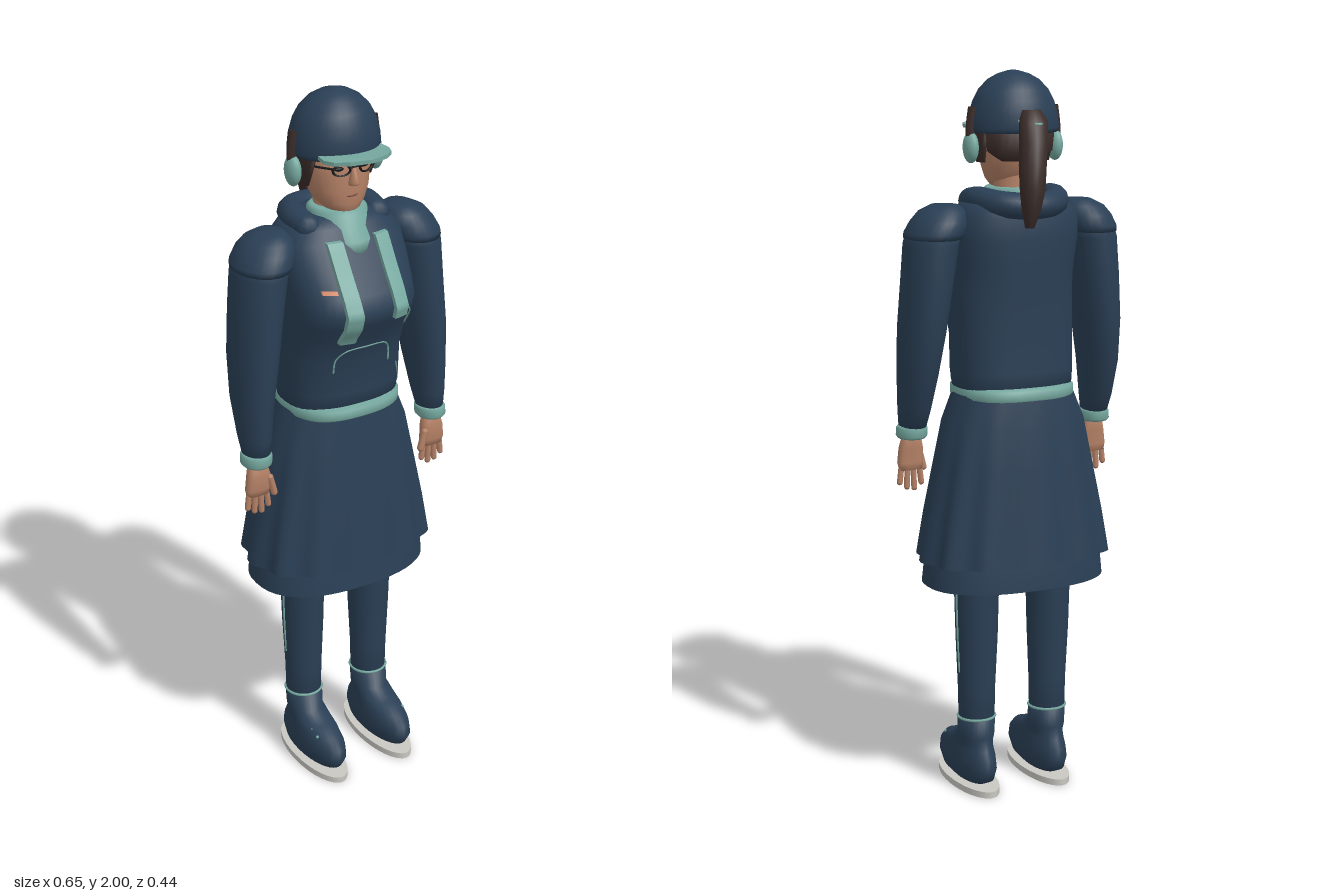
import * as THREE from 'three';

const mat = (name, color) => Object.assign(
  new THREE.MeshStandardMaterial({ color, side: THREE.DoubleSide }), { name });

export function createModel() {
  const root = new THREE.Group();
  root.name = 'skatingWoman';
  const navy = mat('navy cloth', 0x2a3f55), teal = mat('teal trim', 0x76a9a0);
  const skin = mat('skin', 0xb68267), hair = mat('dark hair', 0x3a2c29);
  const black = mat('black frames', 0x17181c), sole = mat('sole grey', 0xc9c8c2);
  const lip = mat('lips', 0x8f5848), badge = mat('orange badge', 0xd58a68);

  const add = (name, geo, material, x = 0, y = 0, z = 0) => {
    const m = new THREE.Mesh(geo, material);
    m.name = name;
    m.position.set(x, y, z);
    root.add(m);
    return m;
  };

  // Stacked superellipse rings [y, centre x, half width, front z, back z], bottom to top
  function loft(rings, { p = 2, n = 28, closed = true, ripple = () => 0 } = {}) {
    const pos = [], idx = [], last = (rings.length - 1) * n;
    const sp = (v) => Math.sign(v) * Math.abs(v) ** (2 / p);
    rings.forEach(([y, cx, rx, f, b], i) => {
      for (let j = 0; j < n; j++) {
        const t = (j / n) * Math.PI * 2, k = 1 + ripple(t, i / (rings.length - 1));
        pos.push(cx + rx * k * sp(Math.cos(t)), y, (f + b) / 2 + ((f - b) / 2) * k * sp(Math.sin(t)));
        const q = (j + 1) % n, a = i * n + j, e = i * n + q;
        if (i < rings.length - 1) idx.push(a, a + n, e, a + n, e + n, e);
      }
    });
    if (closed) {
      const c = pos.length / 3;
      for (const r of [rings[0], rings[rings.length - 1]]) pos.push(r[1], r[0], (r[3] + r[4]) / 2);
      for (let j = 0; j < n; j++) {
        const q = (j + 1) % n;
        idx.push(c, j, q, c + 1, last + q, last + j);
      }
    }
    const g = new THREE.BufferGeometry();
    g.setAttribute('position', new THREE.Float32BufferAttribute(pos, 3));
    g.setIndex(idx);
    g.computeVertexNormals();
    return g;
  }
  const tube = (pts, r, seg = 24, sides = 8) => new THREE.TubeGeometry(
    new THREE.CatmullRomCurve3(pts.map((q) => new THREE.Vector3(...q))), seg, r, sides);

  // Jacket body
  const torso = [
    [1.12, 0, 0.158, 0.125, -0.125], [1.2, 0, 0.167, 0.13, -0.12], [1.3, 0, 0.167, 0.137, -0.12],
    [1.38, 0, 0.17, 0.17, -0.122], [1.42, 0, 0.172, 0.2, -0.124], [1.46, 0, 0.174, 0.212, -0.126],
    [1.5, 0, 0.176, 0.19, -0.128], [1.56, 0, 0.18, 0.148, -0.13], [1.62, 0, 0.175, 0.11, -0.128],
    [1.655, 0, 0.145, 0.085, -0.115], [1.68, 0, 0.085, 0.065, -0.085],
  ];
  const P = 2.6;
  add('jacket', loft(torso, { p: P, n: 40 }), navy);

  // Front surface of the jacket at x, y
  function drape(x, y) {
    let i = 0;
    while (i < torso.length - 2 && torso[i + 1][0] < y) i++;
    const u = (y - torso[i][0]) / (torso[i + 1][0] - torso[i][0]);
    const [, , rx, f, b] = torso[i].map((v, k) => v + (torso[i + 1][k] - v) * u);
    return (f + b) / 2 + ((f - b) / 2) * Math.max(0, 1 - Math.abs(x / rx) ** P) ** (1 / P);
  }
  function patch(name, w, h, thick, x, y, material) {
    const g = new THREE.BoxGeometry(w, h, thick, 4, 20, 1).translate(x, y, 0), a = g.attributes.position;
    for (let i = 0; i < a.count; i++) a.setZ(i, a.getZ(i) + drape(a.getX(i), a.getY(i)) + thick * 0.3);
    g.computeVertexNormals();
    add(name, g, material);
  }

  // Belt band, trims and badge
  add('jacketHem', loft([[1.125, 0, 0.155, 0.135, -0.13], [1.132, 0, 0.164, 0.143, -0.139],
    [1.155, 0, 0.164, 0.143, -0.139], [1.163, 0, 0.155, 0.13, -0.125]], { p: P, n: 40 }), teal);
  const trims = [
    [[-0.085, 1.27], [-0.082, 1.31], [-0.06, 1.335], [0, 1.34], [0.06, 1.335], [0.08, 1.31], [0.085, 1.27]],
    [[0.1, 1.45], [0.122, 1.42], [0.13, 1.37]], [[0.12, 1.25], [0.135, 1.21], [0.15, 1.17]],
  ];
  for (const line of trims) add('pocketTrim', tube(line.map(([x, y]) => [x, y, drape(x, y)]), 0.0025, 20, 5), teal);
  patch('badge', 0.035, 0.008, 0.008, -0.115, 1.518, badge);

  // Scarf
  add('scarfWrap', loft([[1.585, 0, 0.08, 0.13, -0.07], [1.62, 0, 0.09, 0.118, -0.075],
    [1.65, 0, 0.078, 0.098, -0.075], [1.685, 0, 0.08, 0.082, -0.075], [1.695, 0, 0.068, 0.07, -0.065]]), teal);
  patch('scarfEnd', 0.042, 0.26, 0.018, -0.07, 1.5, teal);
  patch('scarfEnd', 0.042, 0.2, 0.018, 0.07, 1.53, teal);

  // Folded hood
  const hood = add('hood', tube([[-0.105, 1.655, 0.03], [-0.108, 1.662, -0.03], [-0.075, 1.655, -0.1],
    [0, 1.65, -0.128], [0.075, 1.655, -0.1], [0.108, 1.662, -0.03], [0.105, 1.655, 0.03]], 0.036, 32, 12), navy);
  for (const s of [-1, 1]) add('hoodEnd', new THREE.SphereGeometry(0.036, 12, 8), navy, s * 0.105, 1.655, 0.03);
  hood.castShadow = false;

  // Skirt with soft pleats and underskirt
  const ripple = (t, v) => 0.035 * (1 - v) * Math.cos(12 * t);
  add('skirt', loft([[0.68, 0, 0.268, 0.178, -0.186], [0.8, 0, 0.25, 0.165, -0.173], [0.95, 0, 0.22, 0.15, -0.158],
    [1.06, 0, 0.198, 0.137, -0.146], [1.14, 0, 0.165, 0.128, -0.132]], { p: 2.4, n: 72, closed: false, ripple }), navy);
  add('underskirt', loft([[0.61, 0, 0.258, 0.166, -0.172], [0.67, 0, 0.252, 0.16, -0.168],
    [0.8, 0, 0.225, 0.145, -0.15]], { p: 2.4, n: 48, closed: false }), navy);

  for (const s of [-1, 1]) {
    const side = s > 0 ? 'left' : 'right';
    // Leg, stripe and ankle trim
    const lx = s * 0.11;
    add(side + 'Leg', loft([[0.18, lx, 0.05, 0.05, -0.05], [0.3, lx, 0.052, 0.053, -0.054],
      [0.45, lx, 0.058, 0.06, -0.065], [0.62, lx, 0.062, 0.066, -0.072], [0.95, s * 0.095, 0.085, 0.085, -0.09]]), navy);
    add(side + 'LegStripe', tube([[s * 0.163, 0.35, -0.005], [s * 0.168, 0.45, -0.005],
      [s * 0.172, 0.62, -0.005], [s * 0.174, 0.75, -0.005]], 0.0035, 10, 6), teal);
    add(side + 'AnkleTrim', new THREE.TorusGeometry(0.052, 0.004, 6, 28).rotateX(Math.PI / 2), teal, lx, 0.215, 0);
    // Shoe and sole
    add(side + 'Shoe', loft([[0.022, lx, 0.035, 0.15, -0.04], [0.04, lx, 0.052, 0.19, -0.078],
      [0.07, lx, 0.059, 0.208, -0.088], [0.1, lx, 0.058, 0.2, -0.08], [0.125, lx, 0.053, 0.17, -0.066],
      [0.143, lx, 0.05, 0.12, -0.058], [0.16, lx, 0.05, 0.065, -0.055], [0.218, lx, 0.053, 0.054, -0.053]]), navy);
    add(side + 'Sole', new THREE.CylinderGeometry(0.061, 0.061, 0.018, 32).scale(1, 1, 2.62), sole, lx, 0.012, 0.055);
    for (let i = 0; i < 3; i++) {
      add(side + 'Eyelet', new THREE.SphereGeometry(0.005, 6, 5), teal, lx + s * 0.035, 0.141 - i * 0.008, 0.075 + i * 0.03);
    }

    // Sleeve and shoulder cap
    add(side + 'Sleeve', loft([[1.045, s * 0.277, 0.036, 0.088, 0.005], [1.1, s * 0.276, 0.042, 0.095, -0.025],
      [1.2, s * 0.272, 0.051, 0.1, -0.062], [1.32, s * 0.262, 0.06, 0.105, -0.084], [1.45, s * 0.248, 0.066, 0.1, -0.09],
      [1.55, s * 0.236, 0.071, 0.098, -0.09], [1.6, s * 0.222, 0.072, 0.09, -0.085]]), navy);
    add(side + 'Shoulder', loft([[1.565, s * 0.232, 0.074, 0.1, -0.093], [1.58, s * 0.225, 0.08, 0.1, -0.096],
      [1.61, s * 0.213, 0.076, 0.088, -0.09], [1.635, s * 0.205, 0.063, 0.07, -0.072],
      [1.652, s * 0.198, 0.036, 0.042, -0.045]]), navy);
    add(side + 'Cuff', loft([[1.02, s * 0.279, 0.036, 0.088, 0.008], [1.027, s * 0.279, 0.042, 0.094, 0.001],
      [1.048, s * 0.278, 0.042, 0.094, 0], [1.056, s * 0.277, 0.037, 0.09, 0.004]]), teal);
    // Hand with fingers and thumb
    add(side + 'Palm', loft([[0.93, s * 0.28, 0.033, 0.068, 0.04], [0.95, s * 0.28, 0.037, 0.074, 0.038],
      [0.99, s * 0.278, 0.034, 0.076, 0.036], [1.03, s * 0.278, 0.024, 0.07, 0.03]], { p: 2.6, n: 16 }), skin);
    [0.052, 0.066, 0.062, 0.048].forEach((len, i) => {
      const f = add(side + 'Finger', new THREE.CapsuleGeometry(0.0085, len - 0.012, 3, 8), skin,
        s * (0.251 + i * 0.0195), 0.938 - len / 2, 0.055);
      f.rotation.z = s * (i - 1.5) * 0.08;
    });
    const thumb = add(side + 'Thumb', new THREE.CapsuleGeometry(0.01, 0.05, 3, 8), skin, s * 0.243, 0.955, 0.068);
    thumb.rotation.z = -s * 0.25;

    // Earphone with its arm on the cap, glasses rim, eye and side hair
    const cup = add(side + 'Earphone', new THREE.SphereGeometry(1, 16, 12), teal, s * 0.124, 1.8, -0.008);
    cup.scale.set(0.02, 0.042, 0.03);
    add(side + 'EarphoneArm', tube([[s * 0.124, 1.8, -0.01], [s * 0.126, 1.85, -0.01],
      [s * 0.119, 1.905, -0.01]], 0.013, 10, 8), hair);
    const rim = add(side + 'GlassesRim', new THREE.TorusGeometry(0.023, 0.0035, 6, 20), black, s * 0.037, 1.813, 0.088);
    rim.scale.y = 0.65;
    rim.rotation.y = s * 0.28;
    add(side + 'Temple', tube([[s * 0.059, 1.818, 0.08], [s * 0.088, 1.82, 0.045], [s * 0.103, 1.818, 0]], 0.003, 10, 5), black);
    const eye = add(side + 'Eye', new THREE.SphereGeometry(1, 10, 8), black, s * 0.037, 1.813, 0.077);
    eye.scale.set(0.014, 0.006, 0.006);
    add(side + 'SideHair', loft([[1.76, s * 0.094, 0.007, 0.02, -0.03], [1.8, s * 0.096, 0.012, 0.04, -0.04],
      [1.86, s * 0.093, 0.018, 0.06, -0.05]], { n: 12 }), hair);
  }

  // Neck, head and face
  add('neck', new THREE.CylinderGeometry(0.052, 0.06, 0.18, 20), skin, 0, 1.68, -0.01);
  add('head', loft([[1.685, 0, 0.026, 0.068, 0], [1.696, 0, 0.048, 0.076, -0.03], [1.715, 0, 0.066, 0.08, -0.055],
    [1.75, 0, 0.081, 0.084, -0.08], [1.8, 0, 0.09, 0.083, -0.092], [1.88, 0, 0.092, 0.083, -0.095]], { p: 2.2 }), skin);
  add('nose', loft([[1.768, 0, 0.013, 0.1, 0.07], [1.776, 0, 0.014, 0.11, 0.07], [1.795, 0, 0.009, 0.1, 0.07],
    [1.825, 0, 0.006, 0.088, 0.07]], { n: 12 }), skin);
  add('mouth', new THREE.SphereGeometry(1, 12, 8), lip, 0, 1.738, 0.079).scale.set(0.019, 0.005, 0.006);
  add('glassesBridge', tube([[-0.016, 1.817, 0.093], [0, 1.82, 0.096], [0.016, 1.817, 0.093]], 0.003, 8, 5), black);

  // Back hair and ponytail
  add('backHair', loft([[1.765, 0, 0.06, -0.02, -0.094], [1.79, 0, 0.092, 0.005, -0.106],
    [1.86, 0, 0.101, 0.02, -0.112]]), hair);
  add('ponytail', loft([[1.6, 0.035, 0.012, -0.168, -0.195], [1.65, 0.03, 0.025, -0.15, -0.212],
    [1.7, 0.026, 0.033, -0.142, -0.218], [1.76, 0.02, 0.036, -0.128, -0.208], [1.82, 0.008, 0.038, -0.112, -0.186],
    [1.87, 0, 0.04, -0.1, -0.162], [1.9, 0, 0.026, -0.1, -0.138]], { n: 18 }), hair);
  add('hairTie', tube([[-0.038, 1.872, -0.12], [0, 1.865, -0.164], [0.038, 1.872, -0.12]], 0.004, 14, 6), teal);

  // Cap and curved brim
  add('cap', loft([[1.838, 0, 0.118, 0.1, -0.118], [1.85, 0, 0.124, 0.106, -0.124], [1.885, 0, 0.12, 0.104, -0.121],
    [1.92, 0, 0.11, 0.095, -0.112], [1.95, 0, 0.094, 0.08, -0.097], [1.975, 0, 0.07, 0.058, -0.074],
    [1.99, 0, 0.043, 0.032, -0.048], [1.998, 0, 0.016, 0.008, -0.022], [2, 0, 0.003, -0.004, -0.01]], { n: 36 }), navy);
  const brimShape = new THREE.Shape([[-0.09, -0.04], [-0.097, -0.1], [-0.085, -0.13], [-0.055, -0.158], [0, -0.175],
    [0.055, -0.158], [0.085, -0.13], [0.097, -0.1], [0.09, -0.04]].map((q) => new THREE.Vector2(...q)));
  const brim = new THREE.ExtrudeGeometry(brimShape, { depth: 0.01, bevelEnabled: false }).rotateX(-Math.PI / 2);
  const bp = brim.attributes.position;
  for (let i = 0; i < bp.count; i++) bp.setY(i, bp.getY(i) - 0.8 * bp.getX(i) ** 2);
  brim.computeVertexNormals();
  add('capBrim', brim, teal, 0, 1.852, 0);

  return root;
}
